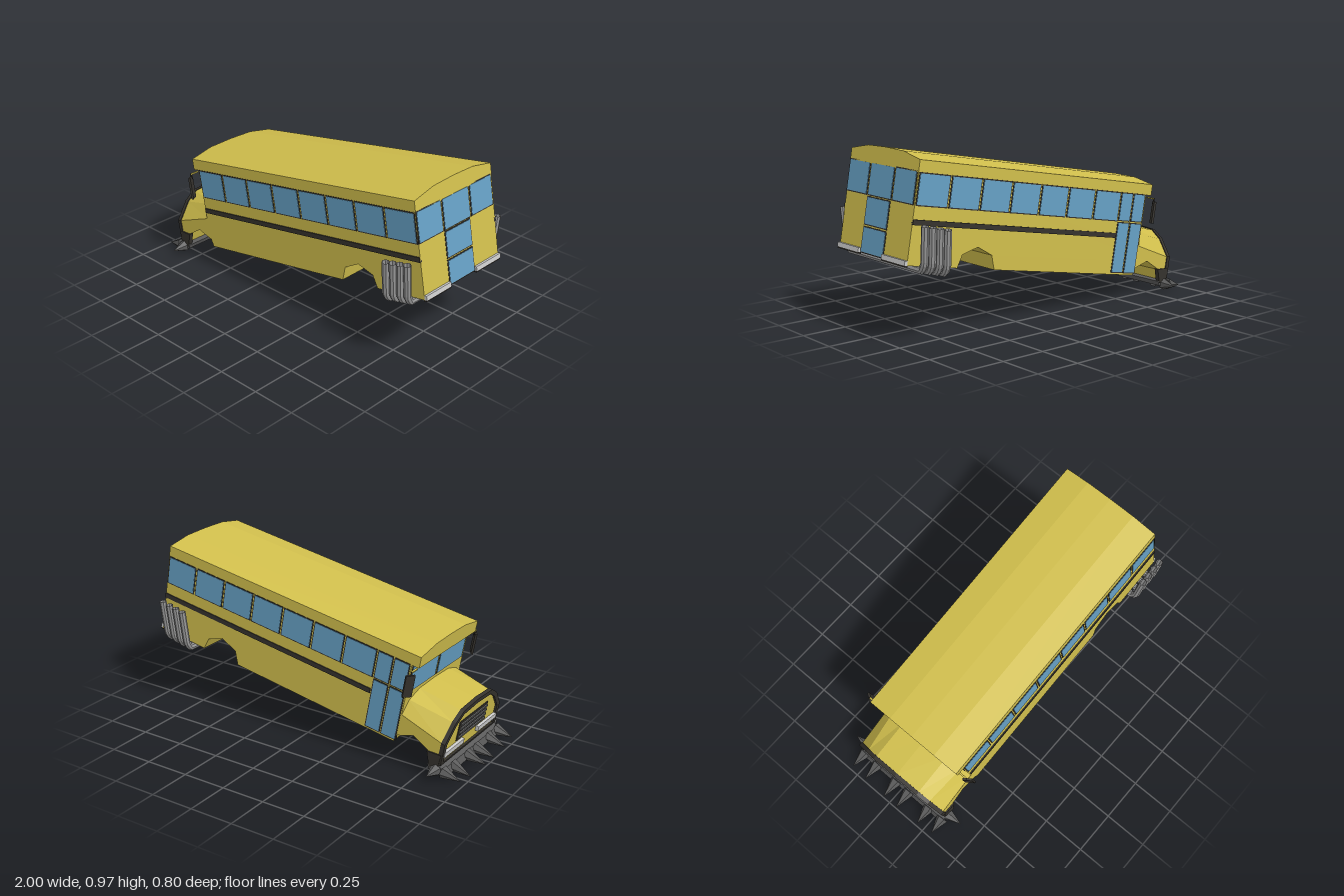
import * as THREE from 'three';

const material = (color) => new THREE.MeshStandardMaterial({ color, flatShading: true, side: THREE.DoubleSide });
const yellow = material(0xd0be4c), glass = material(0x66a0c4), dark = material(0x35322d);
const steel = material(0x999999), iron = material(0x5a5a5a), grey = material(0xcccccc);
const TILT = 0.177, HALF = 0.303;

function add(parent, name, geometry, mat) {
  const mesh = new THREE.Mesh(geometry, mat);
  mesh.name = name;
  parent.add(mesh);
  return mesh;
}

// Box given by its bounds
function box(parent, name, mat, [x0, x1], [y0, y1], [z0, z1]) {
  const geometry = new THREE.BoxGeometry(x1 - x0, y1 - y0, z1 - z0);
  geometry.translate((x0 + x1) / 2, (y0 + y1) / 2, (z0 + z1) / 2);
  return add(parent, name, geometry, mat);
}

const toShape = (points) => new THREE.Shape(points.map(([a, b]) => new THREE.Vector2(a, b)));

// Side outline (x, y) extruded from z0 to z1
function acrossZ(points, z0, z1) {
  return new THREE.ExtrudeGeometry(toShape(points), { depth: z1 - z0, bevelEnabled: false }).translate(0, 0, z0);
}

// Cross-section (z, y) extruded along x from x1 back to x0
function alongX(shape, x0, x1) {
  return new THREE.ExtrudeGeometry(shape, { depth: x1 - x0, bevelEnabled: false })
    .rotateY(-Math.PI / 2).translate(x1, 0, 0);
}

// Framed panes: on a side wall (s = +1 or -1) or on an end wall
function sidePane(parent, name, s, [u0, u1], [v0, v1]) {
  const at = (d) => (s > 0 ? [HALF - 0.01, HALF + d] : [-HALF - d, -HALF + 0.01]);
  box(parent, name + 'Frame', dark, [u0, u1], [v0, v1], at(0.002));
  box(parent, name, glass, [u0 + 0.006, u1 - 0.006], [v0 + 0.006, v1 - 0.006], at(0.004));
}

function endPane(parent, name, u, s, [v0, v1], [z0, z1]) {
  const at = (d) => (s > 0 ? [u - 0.01, u + d] : [u - d, u + 0.01]);
  box(parent, name + 'Frame', dark, at(0.002), [v0, v1], [z0, z1]);
  box(parent, name, glass, at(0.004), [v0 + 0.006, v1 - 0.006], [z0 + 0.006, z1 - 0.006]);
}

function spike(parent, base, tip, radius) {
  const a = new THREE.Vector3(...base), dir = new THREE.Vector3(...tip).sub(a);
  const length = dir.length();
  const mesh = add(parent, 'spike', new THREE.ConeGeometry(radius, length, 6).translate(0, length / 2, 0), iron);
  mesh.position.copy(a);
  mesh.quaternion.setFromUnitVectors(new THREE.Vector3(0, 1, 0), dir.normalize());
}

// Symmetric outline from its +z half, ordered bottom to top
const mirrored = (half) => [...half, ...half.slice().reverse().filter(([z]) => z > 0).map(([z, y]) => [-z, y])];

// Skin between two cross-sections at x0 and x1
function loft(x0, a, x1, b) {
  const positions = [], index = [];
  a.forEach(([z, y], i) => positions.push(x0, y, z, x1, b[i][1], b[i][0]));
  for (let i = 0; i < a.length - 1; i++) {
    const k = i * 2;
    index.push(k, k + 1, k + 2, k + 2, k + 1, k + 3);
  }
  const geometry = new THREE.BufferGeometry();
  geometry.setAttribute('position', new THREE.Float32BufferAttribute(positions, 3));
  geometry.setIndex(index);
  geometry.computeVertexNormals();
  return geometry;
}

function buildBody(bus) {
  // Shell with full-width wheel arches
  add(bus, 'body', acrossZ([
    [1.045, 0.248], [0.734, 0.245], [0.711, 0.315], [0.617, 0.357], [0.519, 0.319], [0.49, 0.243],
    [-0.546, 0.24], [-0.559, 0.282], [-0.653, 0.325], [-0.763, 0.278], [-0.794, 0.22], [-0.826, 0.22],
    [-0.822, 0.355], [-0.565, 0.41], [-0.565, 0.71], [1.045, 0.71],
  ], -HALF, HALF), yellow);

  const roof = mirrored([[HALF, 0.705], [HALF, 0.768], [0.155, 0.796], [0, 0.8]]);
  add(bus, 'roof', alongX(toShape(roof), -0.608, 1.047), yellow);

  // Side windows; the door takes the first bay on the right
  for (const s of [1, -1]) {
    for (let i = s > 0 ? 0 : 1; i < 8; i++) {
      const u = -0.563 + i * 0.201;
      sidePane(bus, 'sideWindow', s, [u + 0.003, u + 0.197], [0.542, 0.708]);
    }
    const z = s > 0 ? [HALF - 0.01, HALF + 0.006] : [-HALF - 0.006, -HALF + 0.01];
    box(bus, 'sideStrip', dark, [s > 0 ? -0.56 : -0.36, 1.045], [0.449, 0.476], z);
  }
  for (const u of [-0.558, -0.459])
    for (const v of [[0.25, 0.54], [0.545, 0.708]]) sidePane(bus, 'doorPane', -1, [u, u + 0.094], v);

  // Rear windows, emergency door and bumpers
  for (const z of [[-0.3, -0.1], [-0.106, 0.106], [0.112, 0.303]])
    endPane(bus, 'rearWindow', 1.045, 1, [0.543, 0.714], z[0] === -0.3 ? [-0.295, -0.112] : z);
  for (const v of [[0.248, 0.386], [0.392, 0.54]]) endPane(bus, 'rearDoorPane', 1.045, 1, v, [-0.1, 0.106]);
  for (const z of [[-0.303, -0.1], [0.108, 0.303]]) {
    box(bus, 'rearBumper', grey, [1.04, 1.06], [0.248, 0.272], z);
    box(bus, 'rearBumperEdge', dark, [1.04, 1.057], [0.24, 0.248], z);
  }

  // Windshield
  for (const z of [[-0.29, -0.005], [0.005, 0.29]]) endPane(bus, 'windshield', -0.565, -1, [0.535, 0.7], z);
}

function buildNose(bus) {
  const back = mirrored([[HALF, 0.36], [HALF, 0.41], [0.25, 0.48], [0.155, 0.512], [0, 0.518]]);
  const front = mirrored([[HALF, 0.3], [HALF, 0.355], [0.225, 0.45], [0.155, 0.495], [0, 0.505]]);
  add(bus, 'hood', loft(-0.822, front, -0.56, back), yellow);
  add(bus, 'noseFace', alongX(toShape(front), -0.826, -0.81), yellow);

  // Dark rim round the nose
  const rim = toShape(mirrored([[0.308, 0.23], [0.308, 0.358], [0.228, 0.456], [0.157, 0.5], [0, 0.51]]));
  rim.holes.push(new THREE.Path(mirrored([[0.28, 0.23 + 0.01], [0.28, 0.35], [0.21, 0.435], [0.15, 0.475], [0, 0.485]])
    .map(([z, y]) => new THREE.Vector2(z, y))));
  add(bus, 'noseRim', alongX(rim, -0.838, -0.815), dark);

  // Grille with bars
  box(bus, 'grille', dark, [-0.83, -0.81], [0.31, 0.425], [-0.155, 0.155]);
  for (let i = 0; i < 4; i++) {
    const v = 0.322 + i * 0.026;
    box(bus, 'grilleBar', iron, [-0.838, -0.82], [v, v + 0.011], [-0.145, 0.145]);
  }
  for (const s of [1, -1]) {
    box(bus, 'frontBumper', grey, [-0.842, -0.81], [0.27, 0.3], s > 0 ? [0.08, 0.29] : [-0.29, -0.08]);
    // Wing mirror on its arm
    const mirror = add(bus, 'wingMirror', new THREE.BoxGeometry(0.012, 0.125, 0.052), dark);
    mirror.position.set(-0.592, 0.613, s * 0.35);
    mirror.rotation.y = s * 0.6;
    box(bus, 'mirrorArm', yellow, [-0.597, -0.587], [0.688, 0.695], s > 0 ? [0.29, 0.345] : [-0.345, -0.29]);
    box(bus, 'mirrorStem', dark, [-0.595, -0.589], [0.66, 0.695], s > 0 ? [0.34, 0.347] : [-0.347, -0.34]);
  }
}

function buildRam(group) {
  // Wedge bar with brackets and spikes
  add(group, 'ramBar', acrossZ([[-0.895, 0.02], [-0.8, 0.045], [-0.79, 0.072], [-0.85, 0.08], [-0.882, 0.06]], -0.31, 0.31), iron);
  for (const s of [1, -1]) {
    const z = s > 0 ? 0.285 : -0.311;
    add(group, 'ramBracket', acrossZ([[-0.868, 0.14], [-0.85, 0.06], [-0.8, 0.06], [-0.785, 0.145]], z, z + 0.026), dark);
    spike(group, [-0.84, 0.05, s * 0.305], [-0.835, 0.05, s * 0.4], 0.035);
    spike(group, [-0.875, 0.045, s * 0.295], [-0.98, 0.02, s * 0.3], 0.036);
    spike(group, [-0.875, 0.042, s * 0.195], [-0.99, 0.005, s * 0.2], 0.036);
    spike(group, [-0.88, 0.042, s * 0.048], [-1.0, 0.01, s * 0.048], 0.036);
  }
}

function buildPipes(group) {
  // Four U-shaped exhausts slung under the tail
  for (let i = 0; i < 4; i++) {
    const x = 0.77 + i * 0.046, y = i * 0.0115;
    const half = [[0.365, 0.59], [0.345, 0.4], [0.322, 0.362]];
    const points = mirrored(half).map(([z, h]) => new THREE.Vector3(x + (h - 0.36) * 0.04, h + y, z));
    const path = new THREE.CurvePath();
    for (let k = 0; k < points.length - 1; k++) path.add(new THREE.LineCurve3(points[k], points[k + 1]));
    add(group, 'exhaustPipe', new THREE.TubeGeometry(path, 80, 0.02, 8, false), steel);
  }
}

export function createModel() {
  const group = new THREE.Group();
  group.name = 'bus';
  // The bus is built level, then pitched nose-down
  const bus = new THREE.Group();
  bus.name = 'busBody';
  bus.rotation.z = TILT;
  buildBody(bus);
  buildNose(bus);
  group.add(bus);
  buildRam(group);
  buildPipes(group);
  return group;
}
